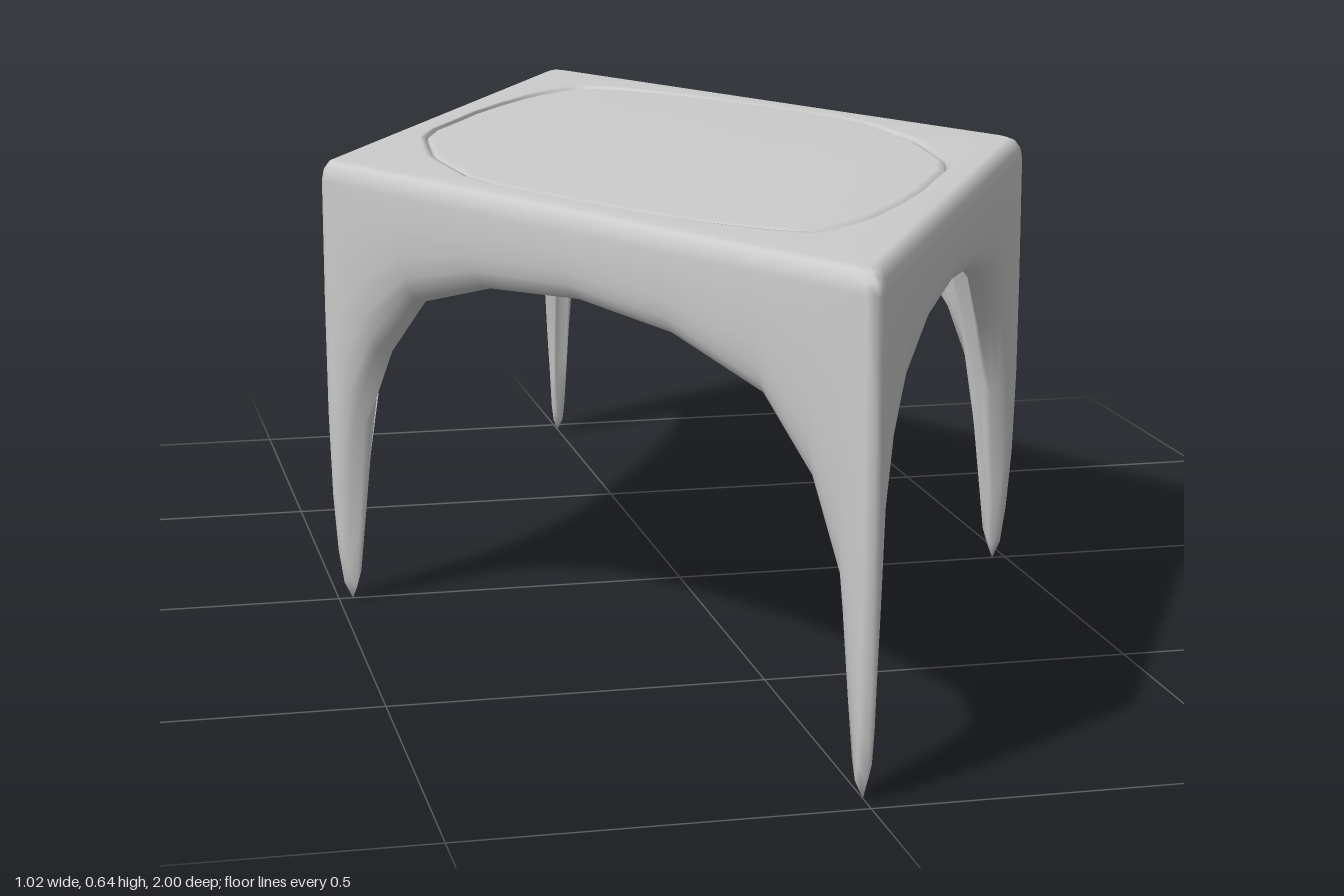
import * as THREE from 'three';

// One quadrant, from the side corner (+x) to the front corner (+z), in matching steps.
// Lower edge of the apron: leg tip, arch, leg tip [x, y, z]
const ARCH = [
  [0.48, 0, 0], [0.475, 0.02, 0.012], [0.472, 0.1, 0.02], [0.462, 0.26, 0.03], [0.43, 0.365, 0.065],
  [0.388, 0.455, 0.14], [0.325, 0.5, 0.3], [0.235, 0.515, 0.48], [0.15, 0.5, 0.65], [0.078, 0.455, 0.81],
  [0.036, 0.365, 0.88], [0.019, 0.26, 0.928], [0.012, 0.1, 0.95], [0.008, 0.02, 0.958], [0, 0, 0.965],
];
// z of the outer wall at each step (x follows the straight side)
const WALL_Z = [0, 0.012, 0.02, 0.035, 0.08, 0.17, 0.315, 0.495, 0.665, 0.82, 0.9, 0.95, 0.975, 0.99, 1];
// Rim of the opening [x, z]
const RIM = [
  [0.35, 0], [0.348, 0.03], [0.346, 0.06], [0.342, 0.1], [0.333, 0.2], [0.307, 0.28], [0.265, 0.36],
  [0.22, 0.45], [0.165, 0.54], [0.11, 0.62], [0.085, 0.65], [0.055, 0.68], [0.035, 0.695], [0.018, 0.708], [0, 0.715],
];
const LAST = ARCH.length - 1;
const TOP = 0.635, EDGE = 0.605, UNDER = 0.621;
// Plan directions across and along a side
const ACROSS = [0.891, 0.454], ALONG = [-0.454, 0.891];
const dot = (p, q) => p[0] * q[0] + p[1] * q[1];
const mix = (p, q, t) => [p[0] + (q[0] - p[0]) * t, p[1] + (q[1] - p[1]) * t];

// Cross-section at step i: rim, top, rounded edge, outer wall, lower edge, inner face
function section(i) {
  const a = ARCH[i], h = RIM[i], z = WALL_Z[i];
  const w = [i === 0 ? 0.51 : i === LAST ? 0 : 0.515 * (1 - z / 1.01), z];
  const foot = [a[0], a[2]];
  const points = [];
  const add = (p, y) => points.push([p[0], y, p[1]]);

  // Small roll into the opening, then the top border
  add(h, TOP - 0.01);
  add(mix(h, w, 0.03), TOP - 0.001);
  add(mix(h, w, 0.08), TOP);

  // Rounded edge of constant width measured across the side
  const inset = 0.02 / dot([w[0] - h[0], w[1] - h[1]], ACROSS);
  for (const deg of [0, 30, 60, 90]) {
    const t = deg * Math.PI / 180;
    add(mix(w, h, inset * (1 - Math.sin(t))), EDGE + (TOP - EDGE) * Math.cos(t));
  }
  for (const v of [0.3, 0.55, 0.75, 0.88, 0.96, 1]) {
    add(mix(foot, w, Math.sqrt(1 - v ** 4)), EDGE + (a[1] - EDGE) * v);
  }

  // Inner face: slender and concave at the legs, round and full along the apron
  const full = (a[1] / 0.515) ** 2;
  const reach = [h[0] - foot[0], h[1] - foot[1]];
  const across = dot(reach, ACROSS), along = dot(reach, ALONG);
  for (const [v, g] of [[0.04, 0.05], [0.2, 0.125], [0.42, 0.21], [0.6, 0.33], [0.8, 0.58], [0.93, 0.83], [1, 1]]) {
    const n = across * (g + (Math.sqrt(1 - (1 - v) ** 2) - g) * full);
    const t = along * (g + (v * v - g) * full);
    add([foot[0] + ACROSS[0] * n + ALONG[0] * t, foot[1] + ACROSS[1] * n + ALONG[1] * t], a[1] + (UNDER - a[1]) * v);
  }
  return points;
}

// Gently domed panel section at step i
const panelSection = (i) =>
  [[0, 0.638], [0.58, 0.6365], [0.97, 0.634], [0.995, 0.631], [1, 0.625], [0.99, 0.622], [0.96, 0.621], [0, 0.621]]
    .map(([s, y]) => [RIM[i][0] * s, y, RIM[i][1] * s]);

// Mirrors a quadrant's sections around all four sides and skins them
function skin(makeSection) {
  const rings = [];
  [[1, 1], [-1, 1], [-1, -1], [1, -1]].forEach(([sx, sz], q) => {
    for (let k = 0; k < LAST; k++) {
      rings.push(makeSection(q % 2 ? LAST - k : k).map(([x, y, z]) => [x * sx, y, z * sz]));
    }
  });
  const n = rings[0].length, index = [];
  for (let r = 0; r < rings.length; r++) {
    const next = (r + 1) % rings.length;
    for (let s = 0; s < n - 1; s++) {
      const a = r * n + s, b = next * n + s;
      index.push(a, b, a + 1, b, b + 1, a + 1);
    }
  }
  const geometry = new THREE.BufferGeometry();
  geometry.setAttribute('position', new THREE.Float32BufferAttribute(rings.flat(2), 3));
  geometry.setIndex(index);
  geometry.computeVertexNormals();
  return geometry;
}

export function createModel() {
  const group = new THREE.Group();
  group.name = 'table';
  const material = new THREE.MeshStandardMaterial({ color: 0xcccccc });

  // Legs, apron and top border in one flowing shell
  const frame = new THREE.Mesh(skin(section), material);
  frame.name = 'frame';
  group.add(frame);

  // Panel filling the opening
  const panel = new THREE.Mesh(skin(panelSection), material);
  panel.name = 'topPanel';
  group.add(panel);
  return group;
}
